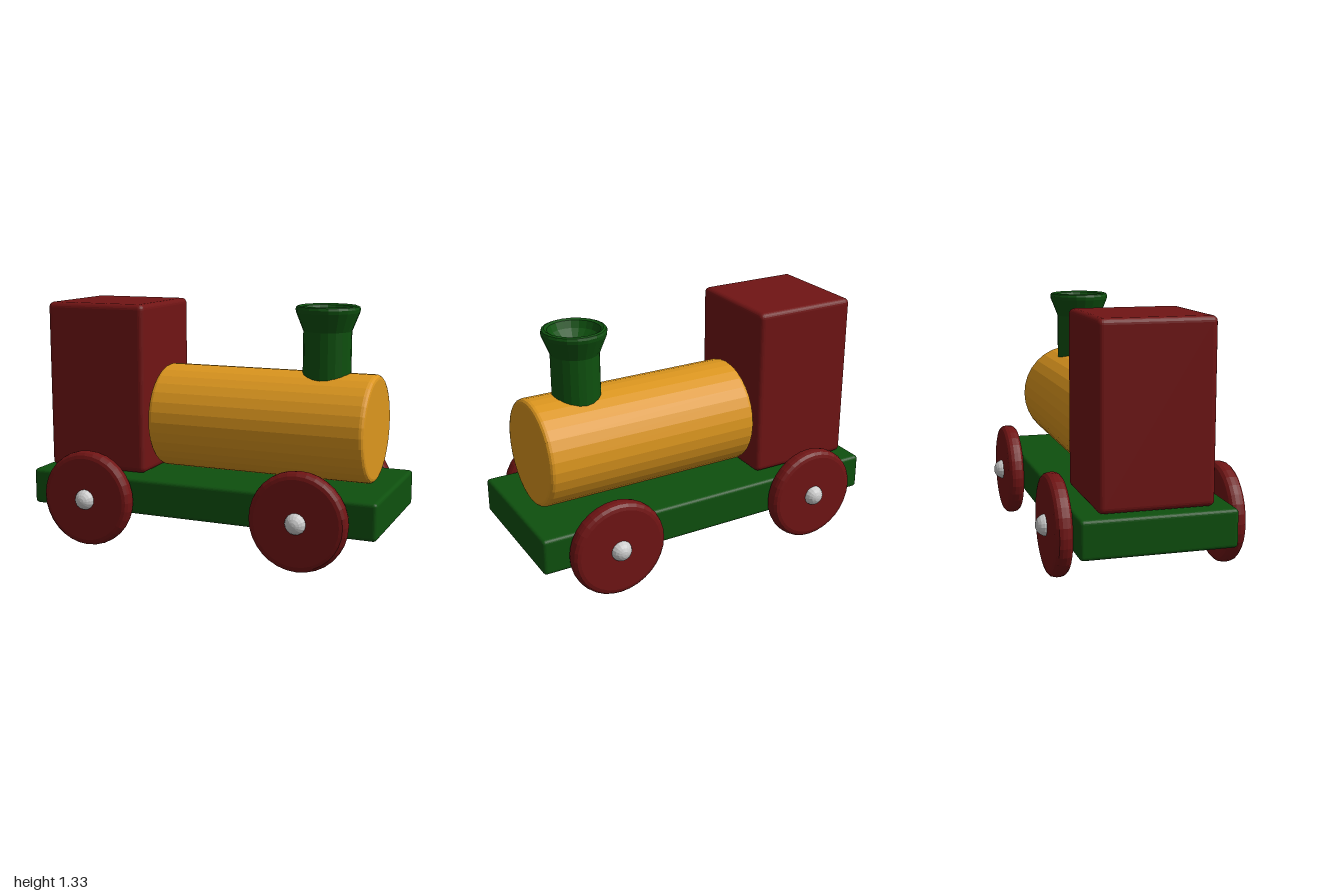
import * as THREE from 'three';
import { RoundedBoxGeometry } from 'three/addons/geometries/RoundedBoxGeometry.js';

const paint = (color) => new THREE.MeshStandardMaterial({ color, flatShading: true });
const red = paint(0x701414);
const green = paint(0x0e500e);
const yellow = paint(0xdc961e);
const grey = paint(0xcccccc);

function add(parent, name, geometry, material, x, y, z) {
  const mesh = new THREE.Mesh(geometry, material);
  mesh.name = name;
  mesh.position.set(x, y, z);
  parent.add(mesh);
  return mesh;
}

// Lathe from [radius, height] pairs listed bottom to top
const turned = (points, sides) =>
  new THREE.LatheGeometry(points.map(([r, h]) => new THREE.Vector2(r, h)), sides);

// Solid disc or rod with rounded rims, centred on its own axis
function roundedRod(radius, length, bevel, sides, steps = 3) {
  const points = [[0, -length / 2]];
  for (const end of [-1, 1]) {
    for (let i = 0; i <= steps; i++) {
      const a = (Math.PI / 2) * (end < 0 ? i / steps - 1 : i / steps);
      points.push([
        radius - bevel + bevel * Math.cos(a),
        end * (length / 2 - bevel) + bevel * Math.sin(a),
      ]);
    }
  }
  points.push([0, length / 2]);
  return turned(points, sides);
}

export function createModel() {
  const train = new THREE.Group();
  train.name = 'toyTrain';
  const bodyZ = -0.005;

  // Chassis and cab blocks
  add(train, 'chassis', new RoundedBoxGeometry(2, 0.2, 0.805, 3, 0.02), green, 0, 0.288, bodyZ);
  add(train, 'cab', new RoundedBoxGeometry(0.594, 0.938, 0.598, 3, 0.03), red, -0.647, 0.861, bodyZ);

  // Boiler lying along x
  const boiler = add(train, 'boiler', roundedRod(0.292, 1.224, 0.025, 32), yellow, 0.278, 0.687, bodyZ);
  boiler.rotation.z = -Math.PI / 2;

  // Chimney with flared rim and hollow bowl
  const chimney = turned([
    [0, 0.85], [0.13, 0.85], [0.13, 1.2], [0.17, 1.3], [0.173, 1.318],
    [0.168, 1.331], [0.155, 1.336], [0.14, 1.328], [0.125, 1.29], [0.062, 1.23], [0, 1.23],
  ], 20);
  add(train, 'chimney', chimney, green, 0.604, 0, bodyZ);

  // Four wheels, each with a round hub cap
  const wheelGeometry = roundedRod(0.265, 0.092, 0.035, 32);
  const hubGeometry = new THREE.SphereGeometry(0.058, 16, 10);
  for (const [end, x] of [['rear', -0.617], ['front', 0.604]]) {
    for (const side of [-1, 1]) {
      const wheel = new THREE.Group();
      wheel.name = `${end}Wheel${side > 0 ? 'Near' : 'Far'}`;
      wheel.position.set(x, 0.268, side * 0.448);
      wheel.rotation.x = (side * Math.PI) / 2;
      add(wheel, 'tyre', wheelGeometry, red, 0, 0, 0);
      add(wheel, 'hubCap', hubGeometry, grey, 0, 0.037, 0);
      train.add(wheel);
    }
  }
  return train;
}
